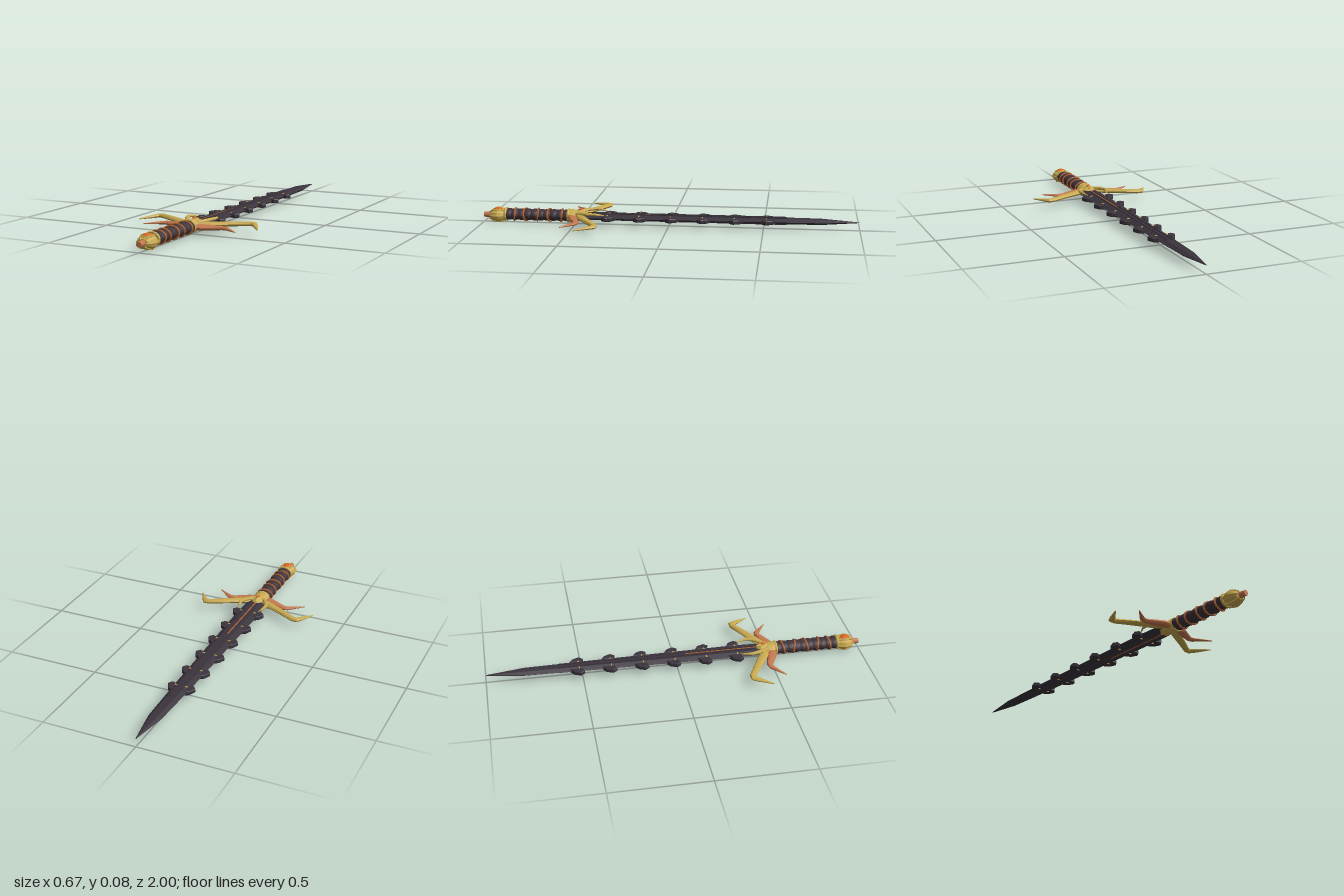
import * as THREE from 'three';
import { toCreasedNormals } from 'three/addons/utils/BufferGeometryUtils.js';

const mat = (name, color) => {
  const m = new THREE.MeshStandardMaterial({ color });
  m.name = name;
  return m;
};

// Sweeps a unit profile along points [x, y, z, halfWidth, halfHeight]; height stays vertical.
function sweep(points, profile, crease = 0.5) {
  const pos = [], idx = [], n = profile.length, up = new THREE.Vector3(0, 1, 0);
  const P = points.map((p) => new THREE.Vector3(p[0], p[1], p[2]));
  P.forEach((p, i) => {
    const d = new THREE.Vector3();
    if (i > 0) d.add(p.clone().sub(P[i - 1]).setY(0).normalize());
    if (i < P.length - 1) d.add(P[i + 1].clone().sub(p).setY(0).normalize());
    const side = d.normalize().clone().cross(up);
    for (const [u, v] of profile) {
      const q = p.clone().addScaledVector(side, u * points[i][3]).addScaledVector(up, v * points[i][4]);
      pos.push(q.x, q.y, q.z);
    }
  });
  for (let i = 0; i < P.length - 1; i++) {
    for (let j = 0; j < n; j++) {
      const a = i * n + j, b = i * n + (j + 1) % n, c = b + n, d = a + n;
      idx.push(a, d, b, d, c, b);
    }
  }
  const e = (P.length - 1) * n;
  for (let j = 1; j < n - 1; j++) idx.push(0, j, j + 1, e, e + j + 1, e + j);
  const g = new THREE.BufferGeometry();
  g.setAttribute('position', new THREE.Float32BufferAttribute(pos, 3));
  g.setIndex(idx);
  return toCreasedNormals(g, crease);
}

const circle = (n) => Array.from({ length: n }, (_, i) => {
  const a = (i / n) * Math.PI * 2;
  return [Math.cos(a), Math.sin(a)];
});

// Lathe lying along z, from [radius, z] pairs, squashed in x and y.
function turned(profile, sx, sy, segments = 16, crease = 0.6) {
  const g = new THREE.LatheGeometry(profile.map(([r, z]) => new THREE.Vector2(r, z)), segments);
  g.rotateX(Math.PI / 2);
  g.scale(sx, sy, 1);
  return toCreasedNormals(g, crease);
}

export function createModel() {
  const steel = mat('darkSteel', 0x3b343d);
  const leather = mat('darkLeather', 0x40343a);
  const gold = mat('gold', 0xc9aa50);
  const copper = mat('copper', 0xc67a50);
  const cord = mat('copperCord', 0xb0622f);
  const gem = mat('orangeGem', 0xd9681f);

  const model = new THREE.Group();
  model.name = 'sword';
  const Y = 0.046;
  const add = (name, geometry, material, x = 0, y = 0, z = 0) => {
    const m = new THREE.Mesh(geometry, material);
    m.name = name;
    m.position.set(x, y, z);
    model.add(m);
    return m;
  };

  // Bevelled blade, widest at the guard
  const bladeProfile = [[1, 0], [0.5, 1], [-0.5, 1], [-1, 0], [-0.5, -1], [0.5, -1]];
  add('blade', sweep([
    [0, Y, 0.47, 0.056, 0.014], [0, Y, 0.3, 0.06, 0.014], [0, Y, -0.5, 0.046, 0.014],
    [0, Y, -0.8, 0.036, 0.013], [0, Y, -0.99, 0.003, 0.002], [0, Y, -1, 0.0005, 0.0005],
  ], bladeProfile, 0.2), steel);

  // Raised rails and inlay on both faces
  for (const f of [1, -1]) {
    for (const s of [1, -1]) {
      add('bladeRail', new THREE.BoxGeometry(0.008, 0.006, 1.04), steel, s * 0.012, Y + f * 0.0155, -0.1);
    }
    add('bladeInlay', new THREE.BoxGeometry(0.007, 0.004, 0.38), cord, 0, Y + f * 0.0145, 0.24);
  }

  // Barbs along the edges with small pins beside them
  for (let i = 0; i < 6; i++) {
    const z = -0.52 + i * 0.168, reach = 0.071 + i * 0.0035, root = 0.036 + i * 0.0022;
    for (const s of [1, -1]) {
      const shape = new THREE.Shape();
      [[root, -0.04], [reach - 0.014, -0.024], [reach, 0.008], [reach - 0.014, 0.027], [root, 0.02]]
        .forEach(([x, y], k) => (k ? shape.lineTo(s * x, y) : shape.moveTo(s * x, y)));
      const g = new THREE.ExtrudeGeometry(shape, {
        depth: 0.014, bevelEnabled: true, bevelThickness: 0.004, bevelSize: 0.003, bevelSegments: 1,
      });
      g.rotateX(Math.PI / 2);
      add('bladeBarb', g, steel, 0, Y + 0.007, z);
      for (const f of [1, -1]) {
        add('barbPin', new THREE.BoxGeometry(0.014, 0.004, 0.006), gold, s * (root - 0.008), Y + f * 0.0125, z + 0.004);
      }
    }
  }

  // Guard core with its small gem
  add('guardCore', turned([
    [0, 0.425], [0.5, 0.435], [0.85, 0.455], [0.8, 0.485], [0.95, 0.51], [0.95, 0.53], [0, 0.54],
  ], 0.046, 0.036, 10), gold, 0, Y);
  const boss = add('guardBoss', new THREE.OctahedronGeometry(1), gold, 0, Y + 0.025, 0.47);
  boss.scale.set(0.024, 0.014, 0.04);
  const guardGem = add('guardGem', new THREE.SphereGeometry(1, 10, 6), gem, 0, Y + 0.033, 0.472);
  guardGem.scale.set(0.01, 0.008, 0.013);

  // Mirrored guard arms: long gold, short copper, and claws gripping the blade
  const round = circle(8);
  for (const s of [1, -1]) {
    add('goldArm', sweep([
      [s * 0.015, 0.049, 0.485, 0.018, 0.014], [s * 0.07, 0.05, 0.458, 0.024, 0.013],
      [s * 0.17, 0.051, 0.403, 0.02, 0.012], [s * 0.25, 0.051, 0.358, 0.017, 0.012],
      [s * 0.272, 0.05, 0.358, 0.018, 0.011], [s * 0.29, 0.048, 0.385, 0.014, 0.009],
      [s * 0.332, 0.043, 0.452, 0.002, 0.003],
    ], round, 0.7), gold);
    add('copperArm', sweep([
      [s * 0.025, 0.042, 0.52, 0.02, 0.017], [s * 0.065, 0.042, 0.505, 0.025, 0.016],
      [s * 0.15, 0.041, 0.474, 0.016, 0.011], [s * 0.175, 0.041, 0.477, 0.015, 0.009],
      [s * 0.255, 0.039, 0.537, 0.002, 0.002],
    ], round, 0.7), copper);
    add('bladeClaw', sweep([
      [s * 0.025, 0.06, 0.49, 0.012, 0.01], [s * 0.06, 0.068, 0.44, 0.011, 0.009],
      [s * 0.075, 0.07, 0.4, 0.009, 0.008], [s * 0.068, 0.067, 0.365, 0.006, 0.006],
      [s * 0.054, 0.062, 0.335, 0.001, 0.001],
    ], round, 0.7), gold);
  }

  // Ribbed grip
  const ribs = [[0, 0.53]];
  for (let i = 0; i < 10; i++) {
    const z = 0.53 + i * 0.035;
    ribs.push([0.9, z], [1, z + 0.012], [1, z + 0.023]);
  }
  ribs.push([0.9, 0.88], [0, 0.88]);
  add('grip', turned(ribs, 0.041, 0.031, 16, 0.5), leather, 0, Y);

  // Cord turns, tilted one way and the other
  [0.575, 0.64, 0.705, 0.77, 0.83].forEach((z, i) => {
    const g = new THREE.TorusGeometry(1, 0.12, 6, 24);
    g.scale(0.042, 0.033, 0.045);
    const ring = add('gripCord', g, cord, 0, Y, z);
    ring.rotation.y = i % 2 ? -0.16 : 0.12;
    ring.rotation.x = i % 2 ? 0.15 : -0.12;
  });

  // Gold collars closing both grip ends
  for (const z of [0.537, 0.878]) {
    add('gripCollar', turned([[0, -0.007], [0.92, -0.007], [1, 0], [0.92, 0.007], [0, 0.007]], 0.045, 0.038, 14), gold, 0, Y, z);
  }

  // Pommel with ribs, end stud and top gem
  const PY = 0.041, PZ = 0.922;
  add('pommel', turned([
    [0, 0.875], [0.68, 0.882], [0.92, 0.902], [1, 0.922], [0.86, 0.945], [0.56, 0.963], [0, 0.968],
  ], 0.05, 0.038, 12, 0.4), gold, 0, PY);
  for (let i = 0; i < 6; i++) {
    const a = (i / 6) * Math.PI * 2, c = Math.cos(a), s = Math.sin(a);
    const curve = new THREE.CatmullRomCurve3([[0.8, 0.884], [1, 0.922], [0.84, 0.948], [0.45, 0.968]]
      .map(([r, z]) => new THREE.Vector3(c * r * 0.05, s * r * 0.037, z)));
    add('pommelRib', new THREE.TubeGeometry(curve, 8, 0.0045, 5), gold, 0, PY);
  }
  const stud = new THREE.CylinderGeometry(0.014, 0.017, 0.045, 10);
  stud.rotateX(Math.PI / 2);
  add('pommelStud', stud, copper, 0, PY, 0.9775);
  const setting = new THREE.TorusGeometry(0.027, 0.006, 6, 16);
  setting.rotateX(Math.PI / 2);
  add('gemSetting', setting, gold, 0, 0.068, PZ);
  const pommelGem = add('pommelGem', new THREE.SphereGeometry(1, 16, 10), gem, 0, 0.067, PZ);
  pommelGem.scale.set(0.027, 0.016, 0.027);

  return model;
}
